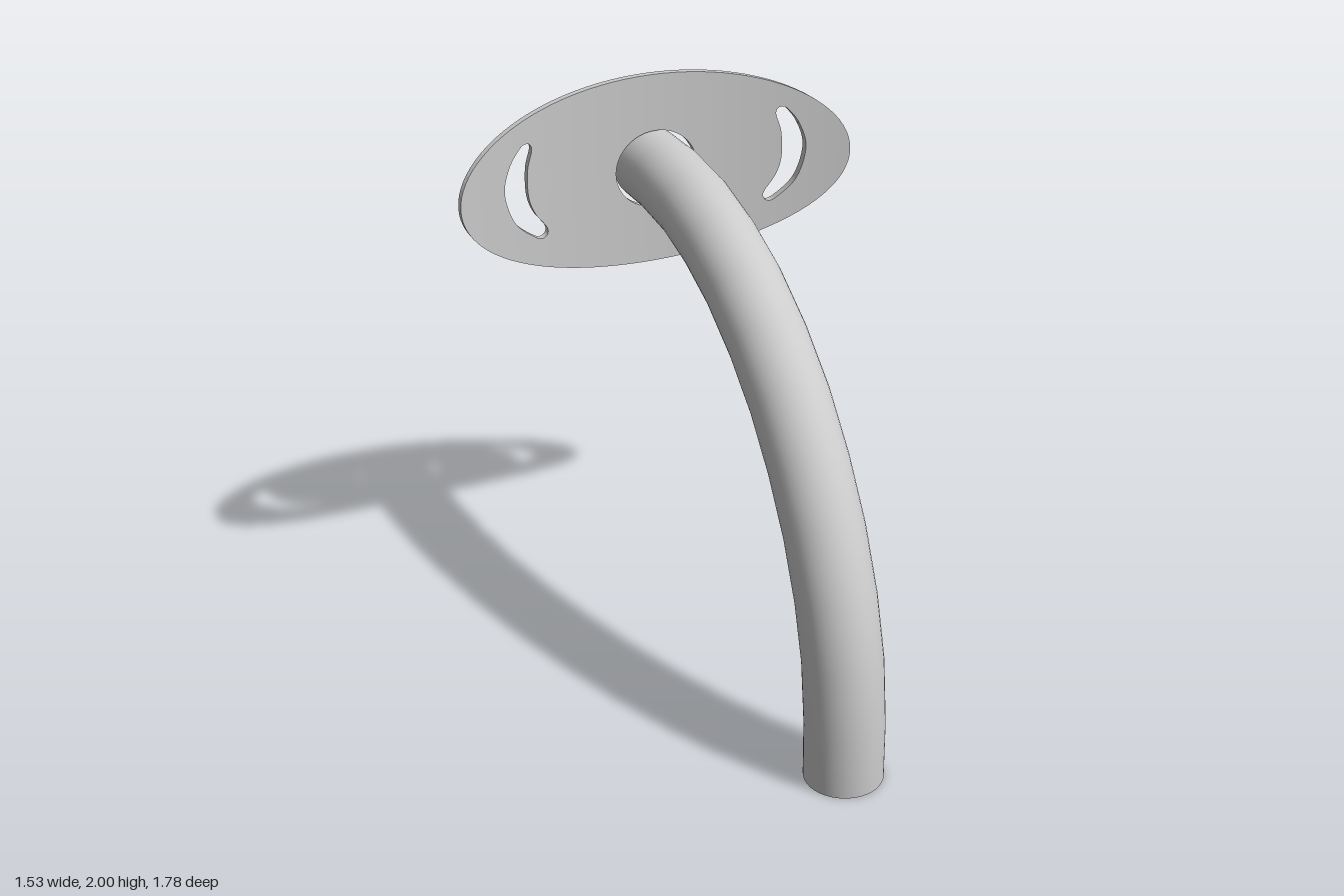
import * as THREE from 'three';

const material = new THREE.MeshStandardMaterial({ color: 0xcccccc });

// Hollow bent pipe swept along a path in the yz plane
function createPipe(path, x0, outer, inner, sides = 40) {
  const last = path.length - 1;
  const frames = path.map(([z, y], i) => {
    const a = path[Math.max(i - 1, 0)], b = path[Math.min(i + 1, last)];
    const len = Math.hypot(b[0] - a[0], b[1] - a[1]);
    return { z, y, ny: (b[0] - a[0]) / len, nz: -(b[1] - a[1]) / len };
  });
  const positions = [], index = [];
  // Each strip has its own vertices, so the rims stay sharp
  const strip = (rings) => {
    const base = positions.length / 3;
    rings.forEach(([f, r], k) => {
      for (let s = 0; s < sides; s++) {
        const t = (s / sides) * Math.PI * 2, c = r * Math.cos(t), d = r * Math.sin(t);
        positions.push(x0 + c, f.y + d * f.ny, f.z + d * f.nz);
        if (k === rings.length - 1) continue;
        const a = base + k * sides + s, b = base + k * sides + (s + 1) % sides;
        index.push(a, b, a + sides, b, b + sides, a + sides);
      }
    });
  };
  const first = frames[0], end = frames[last];
  strip(frames.map((f) => [f, outer]));
  strip([[end, outer], [end, inner]]);
  strip(frames.map((f) => [f, inner]).reverse());
  strip([[first, inner], [first, outer]]);
  const g = new THREE.BufferGeometry();
  g.setAttribute('position', new THREE.Float32BufferAttribute(positions, 3));
  g.setIndex(index);
  g.computeVertexNormals();
  return g;
}

// Splits wide triangles, then bends the flat plate about a vertical axis
function bendPlate(flat, axisX, radius, backZ, maxWidth = 0.08) {
  const src = flat.index ? flat.toNonIndexed() : flat;
  const p = src.attributes.position, n = src.attributes.normal;
  const positions = [], normals = [];
  const emit = (tri, normal) => {
    const widths = tri.map((v, i) => Math.abs(v.x - tri[(i + 1) % 3].x));
    const i = widths.indexOf(Math.max(...widths));
    if (widths[i] > maxWidth) {
      const [a, b, c] = [tri[i], tri[(i + 1) % 3], tri[(i + 2) % 3]];
      const m = a.clone().add(b).multiplyScalar(0.5);
      emit([a, m, c], normal);
      emit([m, b, c], normal);
      return;
    }
    for (const v of tri) {
      const d = v.x - axisX, s = d / radius, c = Math.sqrt(1 - s * s);
      positions.push(v.x, v.y, backZ + radius * (1 - c) + v.z);
      normals.push(normal.x * c - normal.z * s, normal.y, normal.x * s + normal.z * c);
    }
  };
  for (let i = 0; i < p.count; i += 3) {
    const tri = [0, 1, 2].map((k) => new THREE.Vector3().fromBufferAttribute(p, i + k));
    emit(tri, new THREE.Vector3().fromBufferAttribute(n, i));
  }
  const g = new THREE.BufferGeometry();
  g.setAttribute('position', new THREE.Float32BufferAttribute(positions, 3));
  g.setAttribute('normal', new THREE.Float32BufferAttribute(normals, 3));
  return g;
}

export function createModel() {
  const group = new THREE.Group();
  group.name = 'bentPipeWithFlange';
  const add = (name, geometry) => {
    const mesh = new THREE.Mesh(geometry, material);
    mesh.name = name;
    group.add(mesh);
  };

  // Pipe centreline as [z, y], from the foot to the flange
  const path = [
    [0.755, 0], [0.755, 0.21], [0.73, 0.445], [0.672, 0.65], [0.58, 0.855],
    [0.46, 1.04], [0.315, 1.21], [0.145, 1.355], [-0.05, 1.478],
    [-0.245, 1.562], [-0.46, 1.622], [-0.7, 1.648], [-0.89, 1.648],
  ];
  add('pipe', createPipe(path, 0.01, 0.137, 0.105));

  // Oval flange with a pipe hole and two curved slots
  const plate = new THREE.Shape().absellipse(0, 1.643, 0.767, 0.357, 0, Math.PI * 2);
  plate.holes.push(new THREE.Path().absellipse(0.015, 1.645, 0.16, 0.145, 0, Math.PI * 2));
  const slot = [
    [0.49, 1.825], [0.48, 1.8], [0.5, 1.73], [0.502, 1.635], [0.48, 1.565], [0.432, 1.495],
    [0.447, 1.464], [0.485, 1.475], [0.56, 1.545], [0.595, 1.66], [0.57, 1.755], [0.52, 1.82],
  ];
  for (const side of [-1, 1]) {
    const points = slot.map(([x, y]) => new THREE.Vector2(0.005 + side * x, y));
    const hole = new THREE.Path().moveTo(points[0].x, points[0].y);
    hole.splineThru([...points.slice(1), points[0]]);
    plate.holes.push(hole);
  }
  const flat = new THREE.ExtrudeGeometry(plate, { depth: 0.03, bevelEnabled: false, curveSegments: 48 });
  add('flange', bendPlate(flat, 0.05, 2.75, -0.861));

  return group;
}
